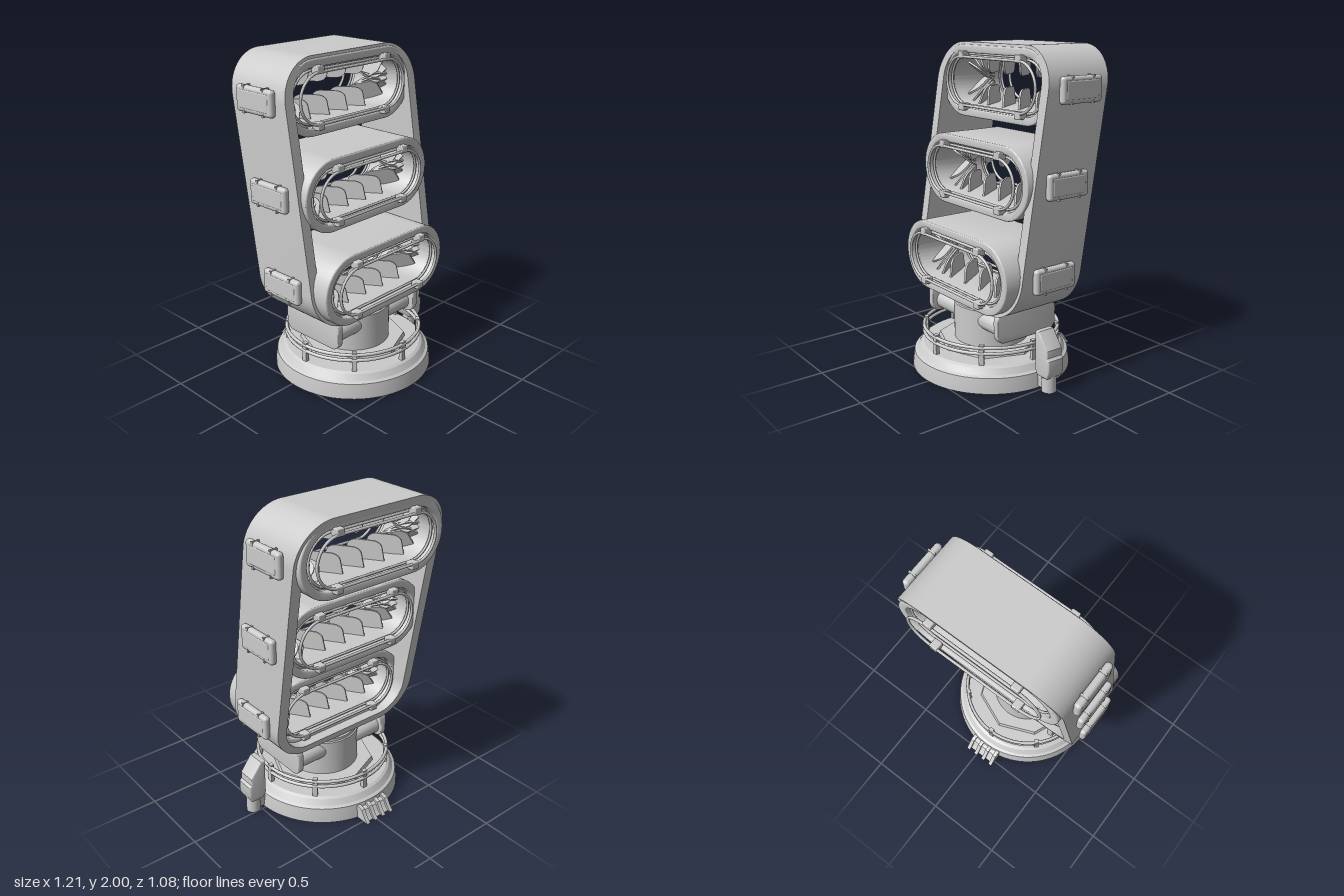
import * as THREE from 'three';
import { toCreasedNormals } from 'three/addons/utils/BufferGeometryUtils.js';
import { RoundedBoxGeometry } from 'three/addons/geometries/RoundedBoxGeometry.js';

const grey = new THREE.MeshStandardMaterial({ color: 0xcccccc });
const greyThin = new THREE.MeshStandardMaterial({ color: 0xcccccc, side: THREE.DoubleSide });

function add(parent, name, geometry, x = 0, y = 0, z = 0, material = grey) {
  const mesh = new THREE.Mesh(geometry, material);
  mesh.name = name;
  mesh.position.set(x, y, z);
  parent.add(mesh);
  return mesh;
}

function group(parent, name, x = 0, y = 0, z = 0) {
  const g = new THREE.Group();
  g.name = name;
  g.position.set(x, y, z);
  parent.add(g);
  return g;
}

// Rounded rectangle from half sizes; a stadium when r equals h
function rounded(w, h, r, Type = THREE.Shape) {
  const p = new Type();
  p.moveTo(-w + r, -h);
  p.lineTo(w - r, -h);
  p.absarc(w - r, -h + r, r, -Math.PI / 2, 0, false);
  p.lineTo(w, h - r);
  p.absarc(w - r, h - r, r, 0, Math.PI / 2, false);
  p.lineTo(-w + r, h);
  p.absarc(-w + r, h - r, r, Math.PI / 2, Math.PI, false);
  p.lineTo(-w, -h + r);
  p.absarc(-w + r, -h + r, r, Math.PI, Math.PI * 1.5, false);
  return p;
}

// Extrusion centred on z, optionally sheared so that z changes with y
function extrude(shape, depth, bevel = 0, shear = 0) {
  const g = new THREE.ExtrudeGeometry(shape, {
    depth: depth - 2 * bevel, curveSegments: 16, bevelEnabled: bevel > 0,
    bevelSize: bevel, bevelThickness: bevel, bevelOffset: -bevel, bevelSegments: 3,
  });
  g.translate(0, 0, -depth / 2 + bevel);
  if (shear) g.applyMatrix4(new THREE.Matrix4().set(1, 0, 0, 0, 0, 1, 0, 0, 0, shear, 1, 0, 0, 0, 0, 1));
  return toCreasedNormals(g, 0.6);
}

function ringShape(w, h, r, w2, h2, r2) {
  const s = rounded(w, h, r);
  s.holes.push(rounded(w2, h2, r2, THREE.Path));
  return s;
}

// Wire bent into a closed stadium
function stadiumWire(w, h, radius) {
  const pts = rounded(w, h, h).getSpacedPoints(60).slice(0, -1).map(p => new THREE.Vector3(p.x, p.y, 0));
  return new THREE.TubeGeometry(new THREE.CatmullRomCurve3(pts, true), 90, radius, 8, true);
}

// Rounded vane: long in x, pointing along +y
function finGeometry() {
  const s = new THREE.Shape();
  s.moveTo(-0.12, 0);
  s.lineTo(0.12, 0);
  s.lineTo(0.105, 0.075);
  s.quadraticCurveTo(0.1, 0.115, 0.05, 0.12);
  s.lineTo(-0.05, 0.12);
  s.quadraticCurveTo(-0.1, 0.115, -0.105, 0.075);
  return extrude(s, 0.012);
}

function createModel() {
  const model = new THREE.Group();
  model.name = 'tripleLamp';
  const body = group(model, 'body', -0.025, 0, 0.04);

  // Base, drum and step
  const profile = [[0, 0], [0.5, 0], [0.497, 0.04], [0.488, 0.095], [0.47, 0.105], [0.447, 0.14], [0.43, 0.15], [0, 0.15]];
  const lathe = (pts) => toCreasedNormals(new THREE.LatheGeometry(pts.map(p => new THREE.Vector2(...p)), 64), 0.4);
  add(body, 'base', lathe(profile));
  add(body, 'baseStep', toCreasedNormals(new THREE.CylinderGeometry(0.33, 0.34, 0.03, 8), 0.3), 0, 0.162, 0);
  add(body, 'turntable', lathe([[0, 0.15], [0.232, 0.15], [0.232, 0.41], [0.224, 0.415], [0.224, 0.433], [0.19, 0.433], [0.185, 0.41], [0, 0.41]]));

  // Railing around the base
  const railing = group(body, 'railing');
  for (const y of [0.222, 0.258]) {
    const rail = add(railing, 'rail', new THREE.TorusGeometry(0.425, 0.011, 8, 64), 0, y, 0);
    rail.rotation.x = Math.PI / 2;
  }
  for (let i = 0; i < 8; i++) {
    const a = i * Math.PI / 4;
    const post = add(railing, 'railPost', new THREE.BoxGeometry(0.03, 0.13, 0.025), 0.418 * Math.sin(a), 0.21, 0.418 * Math.cos(a));
    post.rotation.y = a;
  }

  // Swivel arms and the brackets under the frame
  for (const s of [-1, 1]) {
    const arm = add(body, 'swivelArm', extrude(rounded(0.195, 0.06, 0.06), 0.24, 0.008), s * 0.235, 0.345, 0);
    arm.rotation.y = Math.PI / 2;
    const bracket = add(body, 'armBracket', extrude(rounded(0.225, 0.1, 0.06), 0.04, 0.006), s * 0.345, 0.375, 0.005);
    bracket.rotation.y = Math.PI / 2;
  }

  // Locking lever beside the base
  const lever = group(body, 'lever', 0.565, 0, 0);
  add(lever, 'leverStem', new THREE.CylinderGeometry(0.042, 0.045, 0.12, 24), 0, 0.06, 0);
  const leverShape = new THREE.Shape();
  [[-0.042, 0.1], [0.042, 0.1], [0.06, 0.135], [0.06, 0.215], [0.045, 0.23], [0.045, 0.275], [-0.03, 0.375], [-0.062, 0.375], [-0.062, 0.135]]
    .forEach(([x, y], i) => (i ? leverShape.lineTo(x, y) : leverShape.moveTo(x, y)));
  add(lever, 'leverHandle', extrude(leverShape, 0.12, 0.01));
  add(lever, 'leverMount', new THREE.BoxGeometry(0.1, 0.07, 0.05), -0.06, 0.045, 0);

  // Ribbed wedge at the back of the base
  const wedge = group(body, 'backWedge', 0, 0, -0.48);
  const wedgeShape = new THREE.Shape();
  [[-0.06, 0], [0.1, 0], [0.075, 0.025], [0.045, 0.075], [0.02, 0.085], [-0.06, 0.085]]
    .forEach(([x, y], i) => (i ? wedgeShape.lineTo(x, y) : wedgeShape.moveTo(x, y)));
  for (let i = 0; i < 4; i++) {
    add(wedge, 'wedgeRib', extrude(wedgeShape, 0.025), (i - 1.5) * 0.064).rotation.y = Math.PI / 2;
  }
  const wedgeCore = add(wedge, 'wedgeCore', extrude(wedgeShape, 0.21));
  wedgeCore.rotation.y = Math.PI / 2;
  wedgeCore.scale.set(0.8, 0.8, 1);

  // Leaning outer frame
  const slope = -0.163;
  const frameZ = (y) => 0.045 + slope * (y - 0.45);
  const head = group(model, 'head', -0.025, 0, 0);
  add(head, 'frame', extrude(ringShape(0.54, 0.778, 0.24, 0.475, 0.735, 0.18), 0.45, 0, slope), 0, 1.222, frameZ(1.222));

  // Latches on both sides of the frame
  const latch = new RoundedBoxGeometry(0.045, 0.155, 0.3, 3, 0.02);
  const pin = new THREE.BoxGeometry(0.05, 0.02, 0.012);
  for (const y of [1.762, 1.228, 0.69]) {
    for (const s of [-1, 1]) {
      const g = group(head, 'latch', s * 0.557, y, frameZ(y));
      add(g, 'latchBody', latch);
      add(g, 'latchCover', new RoundedBoxGeometry(0.03, 0.11, 0.25, 2, 0.01), s * 0.01, 0, 0);
      for (const p of [-1, 1]) for (const q of [-1, 1]) add(g, 'latchPin', pin, 0, p * 0.07, q * 0.08);
    }
  }

  // Three lamp housings with vanes and wire guards
  const shell = extrude(ringShape(0.52, 0.22, 0.22, 0.47, 0.17, 0.17), 0.45, 0.008);
  const liner = extrude(ringShape(0.49, 0.19, 0.19, 0.455, 0.155, 0.155), 0.37, 0.006);
  const wire = stadiumWire(0.43, 0.148, 0.009);
  const innerWire = stadiumWire(0.448, 0.152, 0.008);
  const fin = finGeometry();
  const clip = new RoundedBoxGeometry(0.052, 0.045, 0.055, 2, 0.006);

  // Vane spots: foot point, inward direction and travel direction along the wall
  const spots = [];
  for (const v of [-1, 1]) {
    for (let i = 0; i < 4; i++) spots.push([-0.275 + i * 0.155, v * 0.16, 0, -v, 1, 0]);
    for (const s of [-1, 1]) {
      for (const a of [0.3, 0.72, 1.14]) {
        const c = Math.cos(a), n = Math.sin(a);
        spots.push([s * (0.3 + 0.16 * c), v * 0.16 * n, -s * c, -v * n, n, -s * v * c]);
      }
    }
  }

  for (const [y, z] of [[1.763, -0.197], [1.225, -0.045], [0.685, 0.105]]) {
    const lamp = group(head, 'lamp', 0, y, z);
    add(lamp, 'lampShell', shell);
    add(lamp, 'lampLiner', liner);
    for (const [px, py, rx, ry, tx, ty] of spots) {
      const along = new THREE.Vector3(tx * 0.55, ty * 0.55, 0.835);
      const inward = new THREE.Vector3(rx, ry, 0);
      const m = new THREE.Matrix4().makeBasis(along, inward, along.clone().cross(inward));
      const vane = add(lamp, 'vane', fin, px, py, 0, greyThin);
      vane.quaternion.setFromRotationMatrix(m);
    }
    for (const f of [-1, 1]) {
      add(lamp, 'guardWire', wire, 0, 0, f * 0.253);
      add(lamp, 'innerWire', innerWire, 0, 0, f * 0.2);
      for (const x of [-0.277, 0.277]) {
        for (const v of [-1, 1]) add(lamp, 'guardClip', clip, x, v * 0.16, f * 0.234);
      }
    }
  }
  return model;
}

export { createModel };
